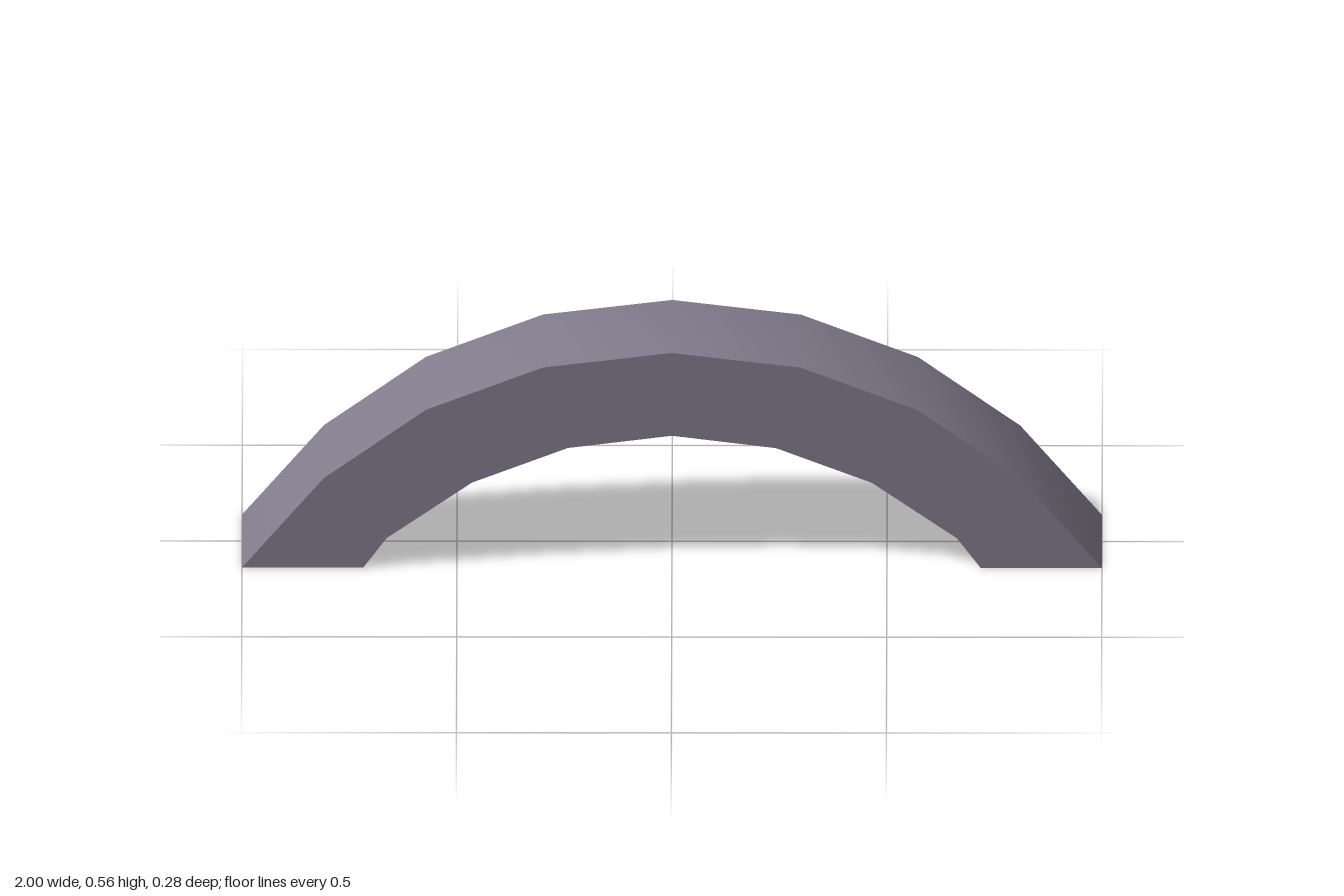
import * as THREE from 'three';
import { toCreasedNormals } from 'three/addons/utils/BufferGeometryUtils.js';

const DEPTH = 0.277;

// Half profiles from the crown down to the foot, mirrored across x = 0
const OUTER = [[0, 0.558], [0.3, 0.52], [0.572, 0.41], [0.81, 0.232], [1, 0]];
const INNER = [[0, 0.343], [0.242, 0.311], [0.465, 0.221], [0.663, 0.077], [0.718, 0]];

// Full curve running from the right foot (-x) to the left foot (+x)
function mirrored(half) {
  const right = half.slice(1).reverse().map(([x, y]) => [-x, y]);
  return [...right, ...half].map(([x, y]) => new THREE.Vector2(x, y));
}

export function createModel() {
  const stone = new THREE.MeshStandardMaterial({ name: 'greyPurpleStone', color: 0x817b8c });

  // Arch band: outer curve one way, inner curve back, closed by flat feet
  const shape = new THREE.Shape([...mirrored(OUTER), ...mirrored(INNER).reverse()]);
  const extruded = new THREE.ExtrudeGeometry(shape, { depth: DEPTH, bevelEnabled: false });
  extruded.translate(0, 0, -DEPTH / 2);

  // Smooth along the curve, sharp at the faces and feet
  const arch = new THREE.Mesh(toCreasedNormals(extruded, 0.6), stone);
  arch.name = 'arch';

  const model = new THREE.Group();
  model.name = 'archModel';
  model.add(arch);
  return model;
}
